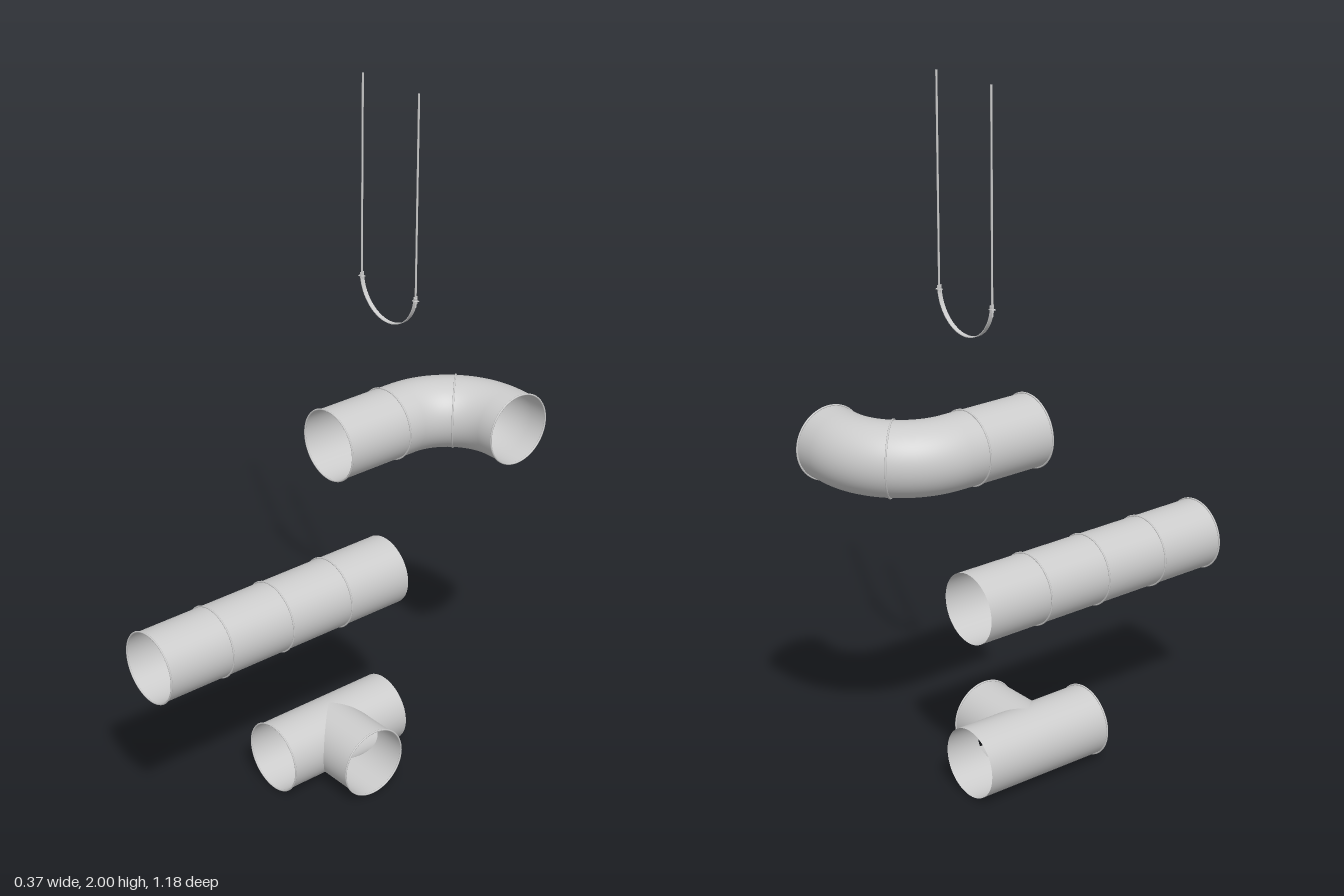
import * as THREE from 'three';

const R = 0.1;          // pipe radius
const CX = -0.07;       // common pipe axis in x
const BACK = -0.23;     // rear end of the straight runs
const material = new THREE.MeshStandardMaterial({ color: 0xcccccc, side: THREE.DoubleSide });

function add(parent, name, geometry, x = 0, y = 0, z = 0) {
  const mesh = new THREE.Mesh(geometry, material);
  mesh.name = name;
  mesh.position.set(x, y, z);
  parent.add(mesh);
  return mesh;
}

function addGroup(parent, name, x, y, z) {
  const group = new THREE.Group();
  group.name = name;
  group.position.set(x, y, z);
  parent.add(group);
  return group;
}

// Open thin-walled pipe along z; each end is a function of the local x, so it can be mitred
function pipe(start, end) {
  const geometry = new THREE.CylinderGeometry(R, R, 1, 64, 1, true).rotateX(Math.PI / 2);
  const pos = geometry.attributes.position;
  for (let i = 0; i < pos.count; i++) {
    const rule = pos.getZ(i) > 0 ? end : start;
    pos.setZ(i, typeof rule === 'function' ? rule(pos.getX(i)) : rule);
  }
  return geometry;
}

// Small raised bead around a pipe, lying across z
const bead = () => new THREE.TorusGeometry(R + 0.0015, 0.0025, 8, 64);

function buildTee(parent) {
  const tee = addGroup(parent, 'teePiece', CX, 0.106, -0.023);
  const saddle = (x) => Math.max(0, x);
  add(tee, 'teeFrontRun', pipe(saddle, 0.203));
  add(tee, 'teeRearRun', pipe((x) => BACK + 0.023, (x) => -saddle(x)));
  add(tee, 'teeBranch', pipe(Math.abs, 0.202).rotateY(Math.PI / 2));
  add(tee, 'teeFrontBead', bead(), 0, 0, 0.201);
  add(tee, 'teeBranchBead', bead().rotateY(Math.PI / 2), 0.2);
}

function buildStraightRun(parent) {
  const run = addGroup(parent, 'straightRun', CX, 0.57, 0);
  add(run, 'straightPipe', pipe(BACK, 0.588));
  for (const z of [0.587, 0.383, 0.179, -0.025]) add(run, 'jointBead', bead(), 0, 0, z);
}

function buildElbow(parent) {
  const elbow = addGroup(parent, 'elbowRun', CX, 1.03, 0);
  const bendR = 0.2, bendZ = -0.285;
  add(elbow, 'elbowInlet', pipe(bendZ, -0.023));
  // Quarter bend from -z round to +x
  const bend = new THREE.TorusGeometry(bendR, R, 64, 32, Math.PI / 2);
  add(elbow, 'elbowBend', bend.rotateZ(Math.PI / 2).rotateX(-Math.PI / 2), bendR, 0, bendZ);
  add(elbow, 'elbowOutlet', pipe(bendR, 0.255).rotateY(Math.PI / 2), 0, 0, bendZ - bendR);
  // Beads at the inlet, the joint, the middle of the bend and the outlet
  add(elbow, 'inletBead', bead(), 0, 0, -0.025);
  add(elbow, 'jointBead', bead(), 0, 0, BACK);
  const k = bendR * Math.SQRT1_2;
  add(elbow, 'bendBead', bead().rotateY(-Math.PI / 4), bendR - k, 0, bendZ - k);
  add(elbow, 'outletBead', bead().rotateY(Math.PI / 2), 0.254, 0, bendZ - bendR);
}

function buildHanger(parent) {
  const hanger = addGroup(parent, 'hanger', CX, 1.445, -0.231);
  const r = 0.11, width = 0.0125;
  // Half-round strap
  const shape = new THREE.Shape();
  shape.absarc(0, 0, r, Math.PI, 2 * Math.PI, false);
  shape.absarc(0, 0, r - 0.002, 2 * Math.PI, Math.PI, true);
  const strap = new THREE.ExtrudeGeometry(shape, { depth: width, bevelEnabled: false, curveSegments: 40 });
  add(hanger, 'strap', strap.translate(0, 0, -width / 2));
  // Threaded rods with a lug and nuts at the strap ends
  for (const side of [-1, 1]) {
    const x = side * r;
    add(hanger, 'rod', new THREE.CylinderGeometry(0.0028, 0.0028, 0.585, 12), x, 0.2625, 0);
    add(hanger, 'lug', new THREE.BoxGeometry(0.015, 0.002, width), x, -0.012, 0);
    for (const y of [-0.017, -0.007]) {
      add(hanger, 'nut', new THREE.CylinderGeometry(0.005, 0.005, 0.006, 6), x, y, 0);
    }
  }
}

export function createModel() {
  const model = new THREE.Group();
  model.name = 'pipeSet';
  buildTee(model);
  buildStraightRun(model);
  buildElbow(model);
  buildHanger(model);
  return model;
}
